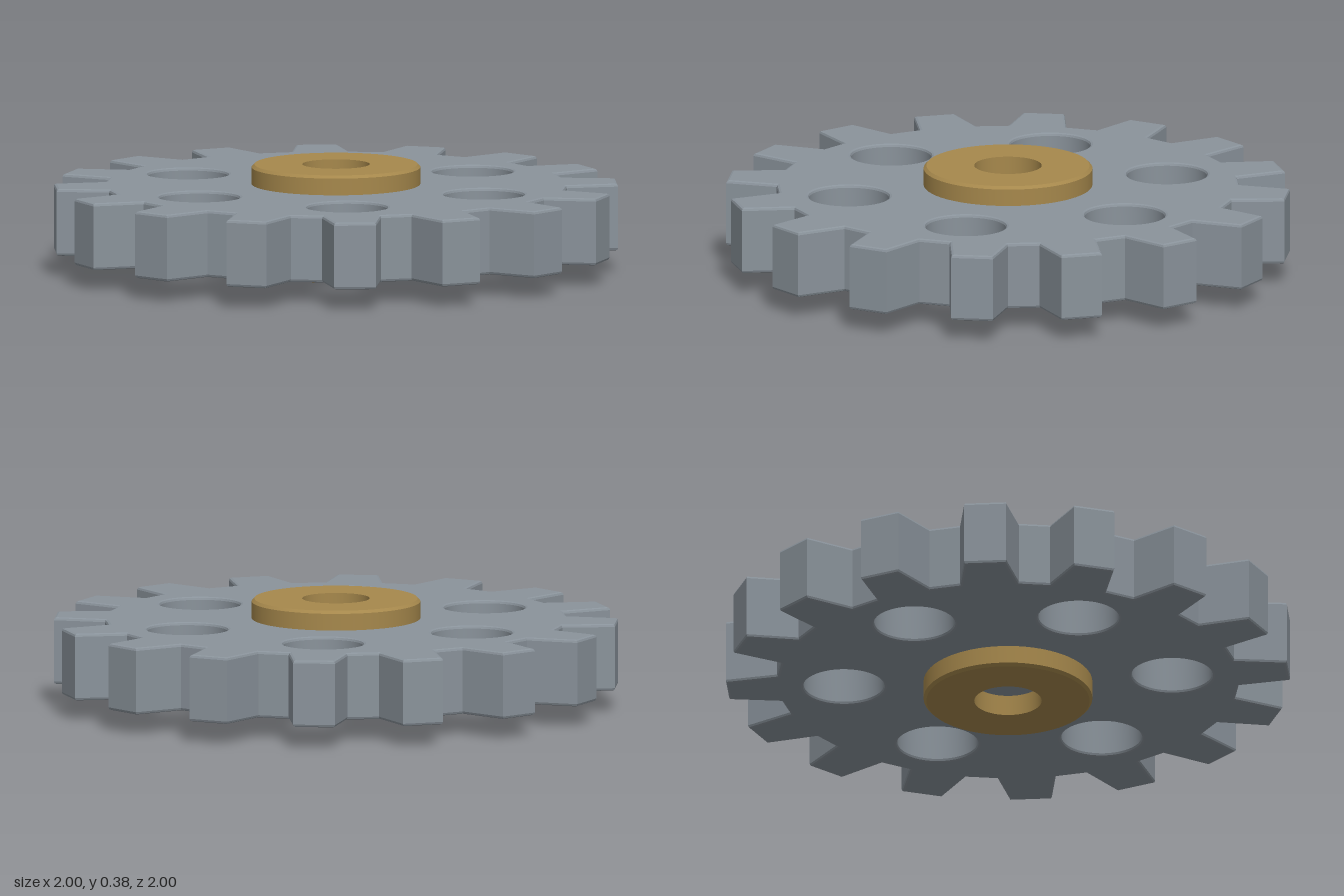
import * as THREE from 'three';
import { toCreasedNormals } from 'three/addons/utils/BufferGeometryUtils.js';

const TEETH = 16;
const HOLES = 6;
const BEVEL = 0.01;
const PLATE_BOTTOM = 0.075;
const PLATE_TOP = 0.315;
const HUB_TOP = 0.385;

// Outline of the gear: straight-sided tapering teeth around a root circle
function gearShape() {
  const tooth = [[0.82, -0.105], [1, -0.075], [1, 0.075], [0.815, 0.105]];
  tooth[0][0] = 0.815;
  const points = [];
  for (let i = 0; i < TEETH; i++) {
    const angle = (i / TEETH) * Math.PI * 2;
    for (const [x, y] of tooth) {
      points.push(new THREE.Vector2(x, y).rotateAround(new THREE.Vector2(), angle));
    }
  }
  const shape = new THREE.Shape(points);

  // Ring of round lightening holes
  for (let i = 0; i < HOLES; i++) {
    const angle = Math.PI / 2 + (i / HOLES) * Math.PI * 2;
    const hole = new THREE.Path();
    hole.absarc(0.585 * Math.cos(angle), 0.585 * Math.sin(angle), 0.143, 0, Math.PI * 2, true);
    shape.holes.push(hole);
  }
  return shape;
}

export function createModel() {
  const group = new THREE.Group();

  // Toothed plate, solid at the centre, with small bevels on every edge
  const plateGeometry = new THREE.ExtrudeGeometry(gearShape(), {
    depth: PLATE_TOP - PLATE_BOTTOM - 2 * BEVEL,
    curveSegments: 24,
    bevelEnabled: true,
    bevelThickness: BEVEL,
    bevelSize: BEVEL,
    bevelOffset: -BEVEL,
    bevelSegments: 2,
  });
  plateGeometry.rotateX(-Math.PI / 2);
  plateGeometry.translate(0, PLATE_BOTTOM + BEVEL, 0);
  const plate = new THREE.Mesh(
    toCreasedNormals(plateGeometry, 0.35),
    new THREE.MeshStandardMaterial({ color: 0x8a939b })
  );
  plate.name = 'gearPlate';
  group.add(plate);

  // Hub ring through the plate, with a bore and chamfered outer rims
  const profile = [
    [0.12, 0], [0.3 - BEVEL, 0], [0.3, BEVEL],
    [0.3, HUB_TOP - BEVEL], [0.3 - BEVEL, HUB_TOP], [0.12, HUB_TOP], [0.12, 0],
  ].map(([r, y]) => new THREE.Vector2(r, y));
  const hub = new THREE.Mesh(
    toCreasedNormals(new THREE.LatheGeometry(profile, 64), 0.35),
    new THREE.MeshStandardMaterial({ color: 0xa6884c })
  );
  hub.name = 'hub';
  group.add(hub);

  return group;
}
